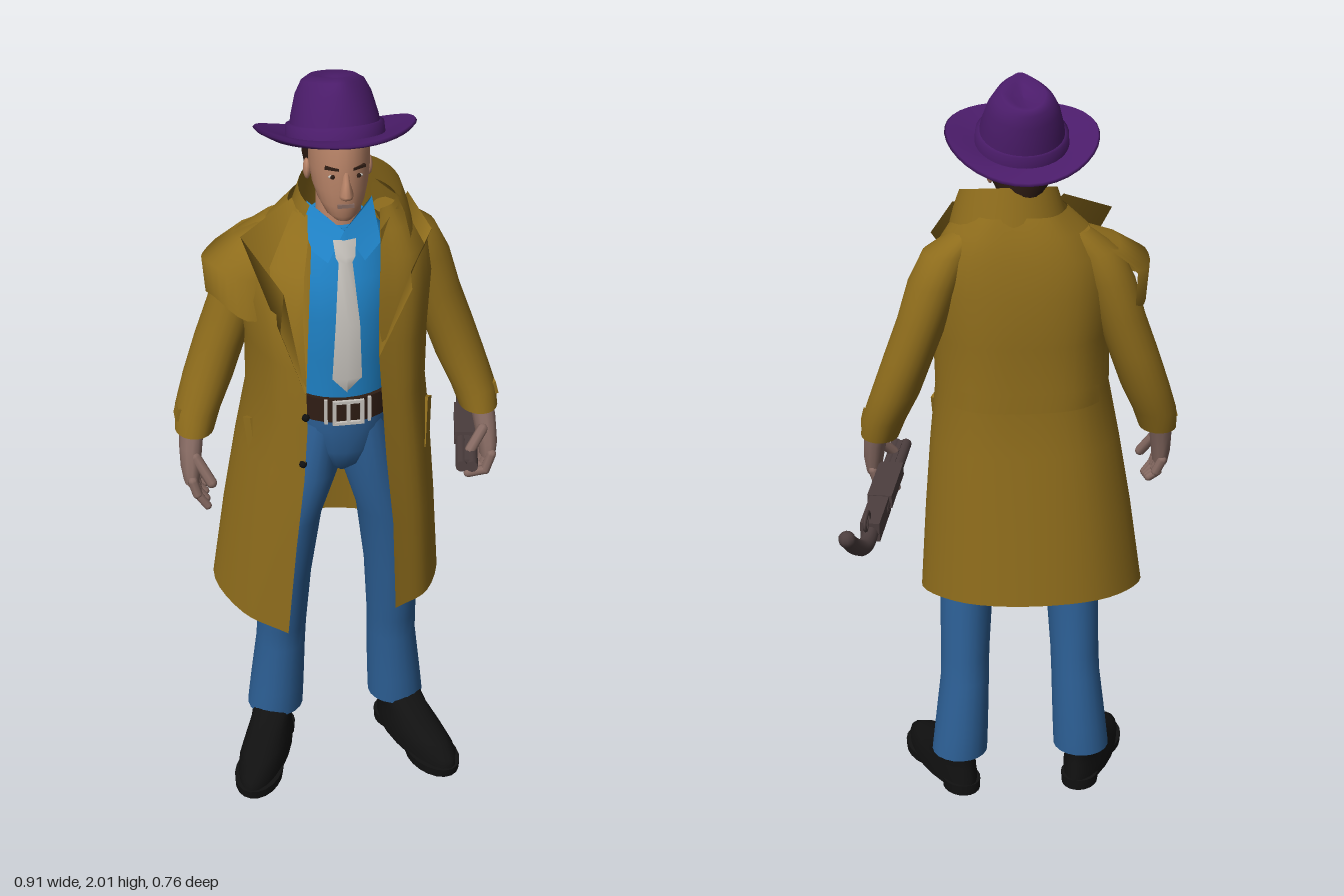
import * as THREE from 'three';

const CX = -0.035; // the figure's own middle line

function paint(name, color, side = THREE.FrontSide) {
  const m = new THREE.MeshStandardMaterial({ color, side });
  m.name = name;
  return m;
}

// Skin a list of rings (arrays of Vector3), closed or open around
function skin(rings, closed = true) {
  const n = rings[0].length, pos = [], idx = [];
  rings.forEach(r => r.forEach(p => pos.push(p.x, p.y, p.z)));
  for (let i = 0; i < rings.length - 1; i++)
    for (let j = 0; j < (closed ? n : n - 1); j++) {
      const a = i * n + j, b = i * n + (j + 1) % n;
      idx.push(a, a + n, b, b, a + n, b + n);
    }
  const g = new THREE.BufferGeometry();
  g.setAttribute('position', new THREE.Float32BufferAttribute(pos, 3));
  g.setIndex(idx);
  g.computeVertexNormals();
  return g;
}

// Elliptical sections [y, cx, cz, rx, rz], bottom to top, with flat caps
function loft(rows, n = 20) {
  const s = [...rows].sort((a, b) => a[0] - b[0]);
  const lo = s[0], hi = s[s.length - 1];
  const tip = r => [r[0], r[1], r[2], 0.0005, 0.0005];
  return skin([tip(lo), lo, ...s, hi, tip(hi)].map(([y, cx, cz, rx, rz]) =>
    Array.from({ length: n }, (_, j) => {
      const a = j / n * Math.PI * 2;
      return new THREE.Vector3(cx + rx * Math.cos(a), y, cz + rz * Math.sin(a));
    })));
}

// Thin cloth panel fanned from its first corner
function panel(pts) {
  const g = new THREE.BufferGeometry().setFromPoints(pts.map(p => new THREE.Vector3(...p)));
  g.setIndex(pts.slice(2).flatMap((_, i) => [0, i + 1, i + 2]));
  g.computeVertexNormals();
  return g;
}

export function createModel() {
  const coat = paint('coat mustard', 0x8f6d1c, THREE.DoubleSide);
  const purple = paint('hat purple', 0x4b1c6a, THREE.DoubleSide);
  const denim = paint('denim blue', 0x2d6096);
  const shirt = paint('shirt blue', 0x1f82c6, THREE.DoubleSide);
  const pale = paint('pale grey', 0xc8c4be, THREE.DoubleSide);
  const face = paint('face skin', 0xb98468);
  const hand = paint('hand skin', 0x866a62);
  const black = paint('black leather', 0x111111);
  const brown = paint('dark brown', 0x2f1d14);
  const steel = paint('gun metal', 0x4c3e3e);

  const model = new THREE.Group();
  const add = (name, geo, mat, parent = model) => {
    const m = new THREE.Mesh(geo, mat);
    m.name = name;
    parent.add(m);
    return m;
  };
  const box = (name, w, h, d, x, y, z, mat, parent) => {
    const m = add(name, new THREE.BoxGeometry(w, h, d), mat, parent);
    m.position.set(x, y, z);
    return m;
  };
  const rod = (name, a, b, r, mat) => {
    const p = new THREE.Vector3(...a), q = new THREE.Vector3(...b), d = q.clone().sub(p);
    const m = add(name, new THREE.CapsuleGeometry(r, d.length(), 4, 8), mat);
    m.position.copy(p).add(q).multiplyScalar(0.5);
    m.quaternion.setFromUnitVectors(new THREE.Vector3(0, 1, 0), d.normalize());
  };
  const mx = (s, x) => CX + s * (x - CX);
  const mirrored = (s, rows) => rows.map(([y, x, ...rest]) => [y, mx(s, x), ...rest]);

  // Trousers and shoes
  add('hips', loft([[0.945, CX, 0.115, 0.02, 0.05], [0.98, CX, 0.117, 0.07, 0.09], [1.03, CX, 0.118, 0.11, 0.108],
    [1.1, CX, 0.12, 0.13, 0.117], [1.17, CX, 0.12, 0.13, 0.12]]), denim);
  for (const s of [1, -1]) {
    const side = s > 0 ? 'left' : 'right';
    add(side + 'Leg', loft(mirrored(s, [[1.12, 0.02, 0.12, 0.06, 0.1], [0.95, 0.045, 0.115, 0.078, 0.105],
      [0.8, 0.085, 0.1, 0.073, 0.1], [0.6, 0.11, 0.082, 0.072, 0.092], [0.42, 0.117, 0.062, 0.067, 0.082],
      [0.35, 0.119, 0.052, 0.067, 0.079], [0.2, 0.13, 0.043, 0.074, 0.082], [0.12, 0.136, 0.04, 0.077, 0.08]])), denim);
    const shoe = new THREE.Group();
    shoe.name = side + 'Shoe';
    shoe.position.set(mx(s, 0.135), 0, 0.035);
    shoe.rotation.y = s * 0.38;
    add('shoeUpper', loft([[0.015, 0, 0.115, 0.063, 0.18], [0.05, 0, 0.115, 0.064, 0.178], [0.075, 0, 0.095, 0.058, 0.152],
      [0.105, 0, 0.05, 0.052, 0.105], [0.14, 0, 0.01, 0.055, 0.068]]), black, shoe);
    add('shoeSole', loft([[0, 0, 0.198, 0.063, 0.098], [0.025, 0, 0.193, 0.065, 0.106]]), black, shoe);
    add('shoeHeel', loft([[0, 0, -0.005, 0.05, 0.06], [0.03, 0, -0.005, 0.052, 0.06]]), black, shoe);
    model.add(shoe);
  }

  // Shirt, tie and belt
  add('shirtBody', loft([[1.15, CX, 0.115, 0.132, 0.118], [1.3, CX, 0.11, 0.14, 0.128], [1.42, CX, 0.11, 0.15, 0.138],
    [1.52, CX, 0.1, 0.15, 0.128], [1.59, CX, 0.09, 0.12, 0.105], [1.64, CX, 0.095, 0.07, 0.085]], 28), shirt);
  for (const s of [1, -1])
    add('shirtCollar', panel([[CX, 1.635, 0.19], [mx(s, 0.01), 1.57, 0.225], [mx(s, 0.055), 1.6, 0.19],
      [mx(s, 0.045), 1.69, 0.12], [mx(s, 0.03), 1.685, 0.15]]), shirt);
  const tieRow = [[1.225, 0.002, 0.246], [1.265, 0.037, 0.253], [1.42, 0.03, 0.262], [1.57, 0.017, 0.228],
    [1.585, 0.024, 0.228], [1.625, 0.028, 0.212]];
  add('tie', skin(tieRow.map(([y, w, z]) => [-w, 0, w].map((x, i) =>
    new THREE.Vector3(CX - 0.003 + x, y, z + (i === 1 ? 0.008 : 0)))), false), pale);
  add('belt', loft([[1.135, CX, 0.12, 0.138, 0.128], [1.2, CX, 0.118, 0.138, 0.13]], 28), brown);
  const buckle = new THREE.Group();
  buckle.name = 'buckle';
  for (const s of [1, -1]) {
    box('buckleBar', 0.07, 0.008, 0.008, CX, 1.167 + s * 0.03, 0.253, pale, buckle);
    box('bucklePost', 0.009, 0.068, 0.008, CX + s * 0.035, 1.167, 0.252, pale, buckle);
    box('beltLoop', 0.008, 0.068, 0.008, CX + s * 0.055, 1.167, 0.242, pale, buckle);
  }
  box('buckleTongue', 0.008, 0.05, 0.008, CX, 1.167, 0.253, pale, buckle);
  model.add(buckle);

  // Open coat: y, left x, right x, back z, left edge (x, z), right edge (x, z)
  const levels = [
    [0.638, 0.23, -0.37, -0.12, 0.085, 0.29, -0.207, 0.342],
    [0.85, 0.215, -0.335, -0.1, 0.075, 0.29, -0.185, 0.36],
    [1.05, 0.2, -0.3, -0.08, 0.055, 0.29, -0.165, 0.37],
    [1.2, 0.185, -0.27, -0.065, 0.045, 0.285, -0.157, 0.377],
    [1.35, 0.19, -0.27, -0.075, 0.035, 0.28, -0.158, 0.37],
    [1.48, 0.2, -0.285, -0.075, 0.038, 0.265, -0.16, 0.345],
    [1.57, 0.188, -0.265, -0.06, 0.045, 0.24, -0.147, 0.285],
    [1.63, 0.15, -0.21, -0.045, 0.05, 0.205, -0.128, 0.225],
    [1.68, 0.108, -0.155, -0.02, 0.055, 0.175, -0.122, 0.18]];
  const coatRing = ([y, xl, xr, zb, lx, lz, rx, rz], grow = 0) => {
    const mix = THREE.MathUtils.lerp, w = xl - xr;
    const pts = [[rx, rz], [mix(rx, xr, 0.65), mix(rz, zb, 0.2)], [xr - grow, 0.08], [xr + w * 0.18, zb * 0.6 - grow],
      [(xl + xr) / 2, zb - grow], [xl - w * 0.18, zb * 0.6 - grow], [xl + grow, 0.08],
      [mix(lx, xl, 0.65), mix(lz, zb, 0.13)], [lx, lz]];
    const drop = y < 0.7 ? 0.15 : 0;
    return new THREE.CatmullRomCurve3(pts.map(([x, z]) =>
      new THREE.Vector3(x, y - drop * (z + 0.1), z))).getPoints(40);
  };
  add('coatBody', skin(levels.map(l => coatRing(l)), false), coat);
  const waist = y => coatRing([y, 0.186, -0.271, -0.068, 0.055, 0.285, -0.157, 0.377], 0.006).slice(13, 28);
  add('coatBackBelt', skin([waist(1.175), waist(1.225)], false), coat);

  // Turned-up collar, highest at the back
  const collarRing = (y, r, zc, dip) => Array.from({ length: 25 }, (_, j) => {
    const a = Math.PI * (0.83 + 1.34 * j / 24), f = (1 + Math.sin(a)) / 2;
    return new THREE.Vector3(-0.008 + r * Math.cos(a), y - dip * f, zc + r * 0.95 * Math.sin(a));
  });
  add('coatCollar', skin([collarRing(1.6, 0.16, 0.105, 0), collarRing(1.68, 0.142, 0.11, 0.015),
    collarRing(1.755, 0.125, 0.115, 0.07)], false), coat);
  add('leftLapel', panel([[0.035, 1.34, 0.29], [0.12, 1.5, 0.258], [0.118, 1.54, 0.245], [0.19, 1.6, 0.14],
    [0.135, 1.69, 0.11], [0.05, 1.64, 0.21]]), coat);
  add('rightLapel', panel([[-0.16, 1.3, 0.382], [-0.215, 1.46, 0.35], [-0.2, 1.54, 0.31], [-0.285, 1.64, 0.19],
    [-0.15, 1.7, 0.12], [-0.122, 1.62, 0.235]]), coat);
  // Loose, crumpled shoulder flap over the right arm
  const flapRing = (y, cx, cz, rx, rz, lift) => Array.from({ length: 15 }, (_, j) => {
    const a = Math.PI * (0.35 + 0.95 * j / 14);
    return new THREE.Vector3(cx + rx * Math.cos(a), y + lift * Math.sin(a * 3), cz + rz * Math.sin(a));
  });
  add('shoulderFlap', skin([flapRing(1.45, -0.262, 0.09, 0.1, 0.14, 0.02), flapRing(1.54, -0.262, 0.08, 0.107, 0.125, 0.012),
    flapRing(1.59, -0.21, 0.07, 0.08, 0.1, 0.01), flapRing(1.64, -0.15, 0.07, 0.03, 0.04, 0)], false), coat);
  for (const [y, x, z] of [[1.235, -0.16, 0.373], [1.1, -0.167, 0.367]]) {
    const b = add('coatButton', new THREE.SphereGeometry(0.01, 8, 6), black);
    b.position.set(x, y, z);
  }
  for (const s of [1, -1]) {
    const p = box('pocketFlap', 0.012, 0.13, 0.03, s > 0 ? 0.178 : -0.272, 1.08, s > 0 ? 0.185 : 0.21, coat);
    p.rotation.set(-0.35, s * -0.5, s * -0.1);
  }

  // Sleeves, cuffs and hands
  for (const s of [1, -1]) {
    const side = s > 0 ? 'left' : 'right';
    add(side + 'Sleeve', loft(mirrored(s, [[1.63, 0.1, 0.055, 0.04, 0.05], [1.58, 0.15, 0.05, 0.066, 0.073],
      [1.5, 0.187, 0.042, 0.07, 0.08], [1.4, 0.22, 0.042, 0.066, 0.077], [1.3, 0.257, 0.044, 0.065, 0.075],
      [1.2, 0.292, 0.054, 0.064, 0.072], [1.12, 0.323, 0.073, 0.058, 0.068], [1.065, 0.335, 0.088, 0.05, 0.064]])), coat);
    const tab = box(side + 'CuffTab', 0.01, 0.035, 0.05, mx(s, 0.375), 1.115, 0.085, coat);
    tab.rotation.z = s * 0.25;
    add(side + 'Palm', loft(mirrored(s, [[1.09, 0.34, 0.09, 0.032, 0.036], [1.03, 0.348, 0.112, 0.03, 0.04],
      [0.98, 0.352, 0.13, 0.026, 0.046], [0.94, 0.352, 0.138, 0.02, 0.042]]), 12), hand);
  }
  for (let i = 0; i < 4; i++) {
    const z = 0.175 - i * 0.026;
    rod('leftFinger', [0.355, 0.955, z], [0.34, 0.91, z], 0.013, hand);
    rod('leftFingertip', [0.34, 0.91, z], [0.295, 0.905, z], 0.012, hand);
    rod('rightFinger', [-0.422, 0.955, z], [-0.412 + i * 0.002, 0.92, z + 0.005], 0.013, hand);
    rod('rightFingertip', [-0.412, 0.92, z + 0.005], [-0.388, 0.885 + i * 0.006, z + 0.008], 0.011, hand);
  }
  rod('leftThumb', [0.335, 1.02, 0.15], [0.298, 0.975, 0.175], 0.014, hand);
  rod('rightThumb', [-0.41, 1.01, 0.15], [-0.375, 0.95, 0.18], 0.014, hand);

  // Short double-barrelled gun, held upside down
  const gun = new THREE.Group();
  gun.name = 'gun';
  gun.position.set(0.325, 0.948, 0.01);
  gun.rotation.set(-0.085, -0.214, 0, 'YXZ');
  for (const s of [1, -1]) {
    const b = add('barrel', new THREE.CylinderGeometry(0.015, 0.015, 0.36, 12), steel, gun);
    b.rotation.x = Math.PI / 2;
    b.position.set(s * 0.0135, 0, 0.06);
  }
  box('barrelRib', 0.012, 0.03, 0.34, 0, 0, 0.06, steel, gun);
  box('foreEnd', 0.064, 0.036, 0.18, 0, 0.006, 0, steel, gun);
  box('receiver', 0.05, 0.052, 0.16, 0, -0.004, -0.15, steel, gun);
  const gripPath = [[0, -0.006, -0.2], [0, -0.01, -0.27], [0.006, -0.002, -0.31], [0.02, 0.034, -0.355], [0.027, 0.062, -0.378]];
  add('grip', new THREE.TubeGeometry(new THREE.CatmullRomCurve3(gripPath.map(p => new THREE.Vector3(...p))),
    14, 0.021, 10), steel, gun);
  const butt = add('gripEnd', new THREE.SphereGeometry(0.022, 10, 8), steel, gun);
  butt.position.set(0.027, 0.062, -0.378);
  const guard = add('triggerGuard', new THREE.TorusGeometry(0.021, 0.005, 6, 16), steel, gun);
  guard.scale.x = 1.4;
  guard.position.set(0.006, 0.03, -0.232);
  guard.rotation.y = Math.PI / 2;
  box('trigger', 0.006, 0.03, 0.006, 0.006, 0.03, -0.232, steel, gun);
  model.add(gun);

  // Neck, head and features
  add('neck', loft([[1.58, CX, 0.1, 0.065, 0.07], [1.66, CX, 0.105, 0.055, 0.06], [1.74, CX, 0.1, 0.055, 0.065]]), face);
  add('head', loft([[1.668, CX, 0.18, 0.022, 0.024], [1.682, CX, 0.168, 0.04, 0.044], [1.71, CX, 0.145, 0.056, 0.073],
    [1.745, CX, 0.125, 0.067, 0.096], [1.79, CX, 0.115, 0.073, 0.107], [1.85, CX, 0.11, 0.073, 0.11],
    [1.88, CX, 0.11, 0.068, 0.1]], 24), face);
  add('nose', loft([[1.735, CX, 0.218, 0.016, 0.02], [1.747, CX, 0.222, 0.017, 0.028],
    [1.775, CX, 0.214, 0.01, 0.018], [1.8, CX, 0.212, 0.008, 0.01]], 10), face);
  box('mouth', 0.04, 0.009, 0.012, CX, 1.713, 0.214, hand);
  add('hair', loft([[1.715, CX, 0.045, 0.05, 0.048], [1.76, CX, 0.06, 0.075, 0.074], [1.8, CX, 0.068, 0.083, 0.083],
    [1.86, CX, 0.078, 0.084, 0.087]]), brown);
  for (const s of [1, -1]) {
    const eye = add('eyeWhite', new THREE.SphereGeometry(0.011, 10, 8), pale);
    eye.scale.set(1, 0.4, 0.35);
    eye.position.set(CX + s * 0.031, 1.788, 0.21);
    const iris = add('iris', new THREE.SphereGeometry(0.006, 8, 6), brown);
    iris.scale.z = 0.5;
    iris.position.set(CX + s * 0.031, 1.788, 0.213);
    const brow = box('eyebrow', 0.034, 0.007, 0.008, CX + s * 0.032, 1.808, 0.209, brown);
    brow.rotation.set(0, s * 0.35, s * 0.08);
    const ear = add('ear', new THREE.SphereGeometry(0.024, 10, 8), face);
    ear.scale.set(0.4, 1.1, 0.7);
    ear.position.set(CX + s * 0.075, 1.765, 0.1);
  }

  // Hat, tipped back, with a brim curled up at the sides
  const hat = new THREE.Group();
  hat.name = 'hat';
  hat.position.set(-0.04, 1.836, 0.097);
  hat.rotation.x = -0.27;
  const hatRing = (rx, rz, y, curl = 0, pinch = 0) => Array.from({ length: 36 }, (_, j) => {
    const a = j / 36 * Math.PI * 2, c = Math.cos(a), s = Math.sin(a);
    return new THREE.Vector3(rx * c * (1 - pinch * Math.max(0, s)), y + curl * c * c, rz * s);
  });
  add('hatBrim', skin([hatRing(0.1, 0.115, 0), hatRing(0.15, 0.165, -0.004, 0.01), hatRing(0.185, 0.198, 0, 0.026),
    hatRing(0.195, 0.207, 0.005, 0.032), hatRing(0.19, 0.2, 0.01, 0.032), hatRing(0.115, 0.13, 0.012)]), purple, hat);
  add('hatBand', skin([hatRing(0.12, 0.134, 0.005), hatRing(0.117, 0.131, 0.04), hatRing(0.103, 0.12, 0.042)]), purple, hat);
  add('hatCrown', skin([hatRing(0.114, 0.128, 0), hatRing(0.104, 0.122, 0.06), hatRing(0.091, 0.114, 0.11, 0, 0.15),
    hatRing(0.075, 0.106, 0.14, 0, 0.3), hatRing(0.055, 0.094, 0.152, 0, 0.4), hatRing(0.03, 0.06, 0.14, 0, 0.4),
    hatRing(0.0005, 0.0005, 0.134)]), purple, hat);
  model.add(hat);
  return model;
}
